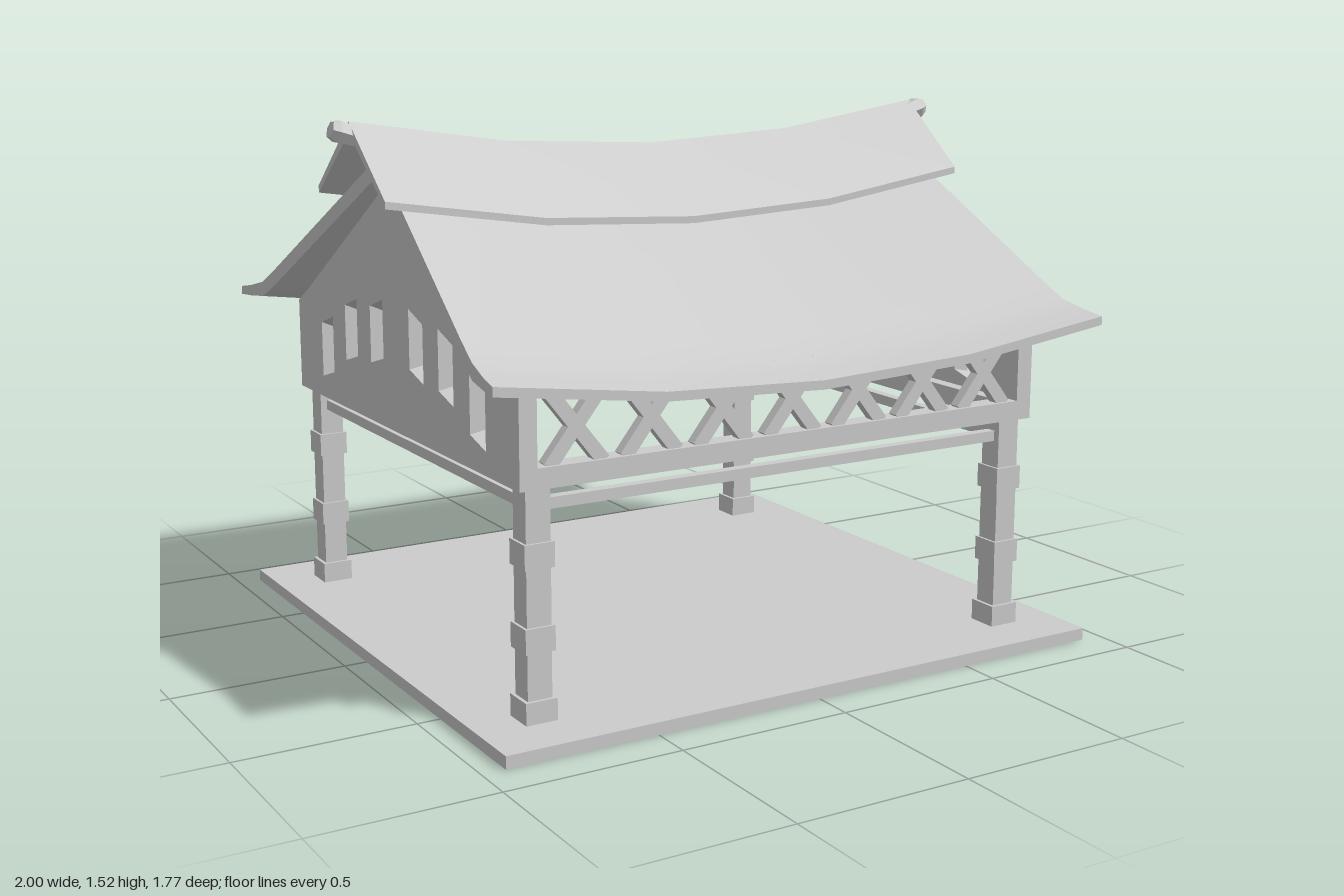
import * as THREE from 'three';
import { toCreasedNormals } from 'three/addons/utils/BufferGeometryUtils.js';

const material = new THREE.MeshStandardMaterial({ color: 0xcccccc });

function add(parent, name, geometry, x = 0, y = 0, z = 0) {
  const mesh = new THREE.Mesh(geometry, material);
  mesh.name = name;
  mesh.position.set(x, y, z);
  parent.add(mesh);
  return mesh;
}

const box = (w, h, d) => new THREE.BoxGeometry(w, h, d);

// Closed slab with a [z, y, halfWidth, thickness] profile, sagging towards the middle of its length
function saggingSlab(profile, sag) {
  const loop = [
    ...profile,
    ...profile.map(([z, y, w, t]) => [z, y - t, w]).reverse(),
  ];
  const n = loop.length, segments = 4;
  const positions = [], index = [];
  for (let i = 0; i <= segments; i++) {
    const f = (2 * i) / segments - 1;
    for (const [z, y, w] of loop) positions.push(f * w, y - sag * (1 - f * f), z);
  }
  const quad = (a, b, c, d) => index.push(a, b, c, a, c, d);
  for (let i = 0; i < segments; i++) {
    for (let j = 0; j < n; j++) {
      const k = (j + 1) % n;
      quad(i * n + j, i * n + k, (i + 1) * n + k, (i + 1) * n + j);
    }
  }
  const end = segments * n;
  for (let j = 0; j < profile.length - 1; j++) {
    const bottom = n - 1 - j;
    quad(end + bottom, end + j, end + j + 1, end + bottom - 1);
    quad(bottom, bottom - 1, j + 1, j);
  }
  const geometry = new THREE.BufferGeometry();
  geometry.setAttribute('position', new THREE.Float32BufferAttribute(positions, 3));
  geometry.setIndex(index);
  return toCreasedNormals(geometry, 0.5);
}

// Gable wall with slanted windows whose reveals narrow towards the inside
function gableGeometry() {
  const points = (list) => list.map(([x, y]) => new THREE.Vector2(x, y));
  const shape = new THREE.Shape(points([
    [-0.75, 0.65], [0.75, 0.65], [0.75, 0.92], [0, 1.365], [-0.75, 0.92],
  ]));
  const windows = [[0.09, 0.845], [0.28, 0.82], [0.47, 0.74]];
  for (const side of [-1, 1]) {
    for (const [z, y] of windows) {
      shape.holes.push(new THREE.Path(points([
        [side * z, y], [side * (z + 0.092), y - 0.026],
        [side * (z + 0.092), y + 0.138], [side * z, y + 0.168],
      ])));
    }
  }
  const geometry = new THREE.ExtrudeGeometry(shape, { depth: 0.05, bevelEnabled: false });
  const p = geometry.attributes.position;
  for (let i = 0; i < p.count; i++) {
    const y = p.getY(i);
    if (Math.abs(p.getX(i)) < 0.6 && y < 1.1 && p.getZ(i) < 0.01) {
      p.setY(i, y > 0.86 ? y - 0.022 : y + 0.01);
    }
  }
  geometry.computeVertexNormals();
  return geometry.rotateY(Math.PI / 2).translate(0.77, 0, 0);
}

// Square post with a foot and two bands
function makePost(x, z) {
  const post = new THREE.Group();
  post.name = 'post';
  post.position.set(x, 0, z);
  add(post, 'postShaft', box(0.07, 0.63, 0.07), 0, 0.345, 0);
  add(post, 'postFoot', box(0.09, 0.06, 0.09), 0, 0.065, 0);
  for (const y of [0.255, 0.475]) add(post, 'postBand', box(0.085, 0.067, 0.085), 0, y, 0);
  return post;
}

// Six-sided knob that closes the ridge, pointing along +x
function finialGeometry() {
  const profile = [[0, 0], [0.03, 0], [0.034, 0.05], [0.024, 0.07], [0, 0.072]]
    .map(([r, h]) => new THREE.Vector2(r, h));
  return toCreasedNormals(new THREE.LatheGeometry(profile, 6), 0.3)
    .rotateZ(-Math.PI / 2 + 0.3)
    .translate(0.925, 1.477, 0);
}

export function createModel() {
  const model = new THREE.Group();
  model.name = 'pavilion';

  // Floor plate with a skirt, hollow underneath
  add(model, 'floor', box(1.87, 0.01, 1.77), 0, 0.03, 0);
  for (const side of [-1, 1]) {
    add(model, 'floorSkirtLong', box(1.87, 0.025, 0.01), 0, 0.0125, side * 0.88);
    add(model, 'floorSkirtShort', box(0.01, 0.025, 1.75), side * 0.93, 0.0125, 0);
  }

  // Posts and the thin rails between them
  for (const side of [-1, 1]) {
    for (const front of [-1, 1]) model.add(makePost(side * 0.76, front * 0.695));
    add(model, 'longRail', box(1.45, 0.03, 0.03), 0, 0.6, side * 0.695);
    add(model, 'crossRail', box(0.03, 0.03, 1.32), side * 0.76, 0.6, 0);
  }

  // Gable walls
  const gable = gableGeometry();
  for (const angle of [0, Math.PI]) add(model, 'gableWall', gable).rotation.y = angle;

  // Sill beams with lattice crosses above
  for (const side of [-1, 1]) {
    add(model, 'sillBeam', box(1.54, 0.055, 0.06), 0, 0.6775, side * 0.72);
    add(model, 'sideSill', box(0.04, 0.055, 1.38), side * 0.75, 0.6775, 0);
    for (let i = -3; i <= 3; i++) {
      const cross = new THREE.Group();
      cross.name = 'latticeCross';
      cross.position.set(i * 0.218, 0.797, side * 0.725);
      for (const tilt of [-1, 1]) {
        add(cross, 'latticeBar', box(0.25, 0.038, 0.03)).rotation.z = tilt * 0.9;
      }
      model.add(cross);
    }
  }

  // Main roof with flared eaves
  const half = [
    [0.885, 0.955, 0.955, 0.025], [0.82, 0.966, 0.948, 0.032],
    [0.74, 0.986, 0.938, 0.044], [0.66, 1.03, 0.93, 0.046],
  ];
  const mirrored = half.map(([z, ...rest]) => [-z, ...rest]);
  add(model, 'roof', saggingSlab(
    [...mirrored, [0, 1.417, 0.86, 0.048], ...half.slice().reverse()], 0.084));

  // Ridge cap, ridge beam below it and end knobs
  add(model, 'ridgeCap', saggingSlab(
    [[-0.235, 1.325, 0.94, 0.02], [0, 1.517, 0.94, 0.03], [0.235, 1.325, 0.94, 0.02]], 0.095));
  add(model, 'ridgeBeam', saggingSlab(
    [[-0.018, 1.495, 0.935, 0.035], [0.018, 1.495, 0.935, 0.035]], 0.095));
  const finial = finialGeometry();
  for (const angle of [0, Math.PI]) add(model, 'ridgeFinial', finial).rotation.y = angle;

  return model;
}
